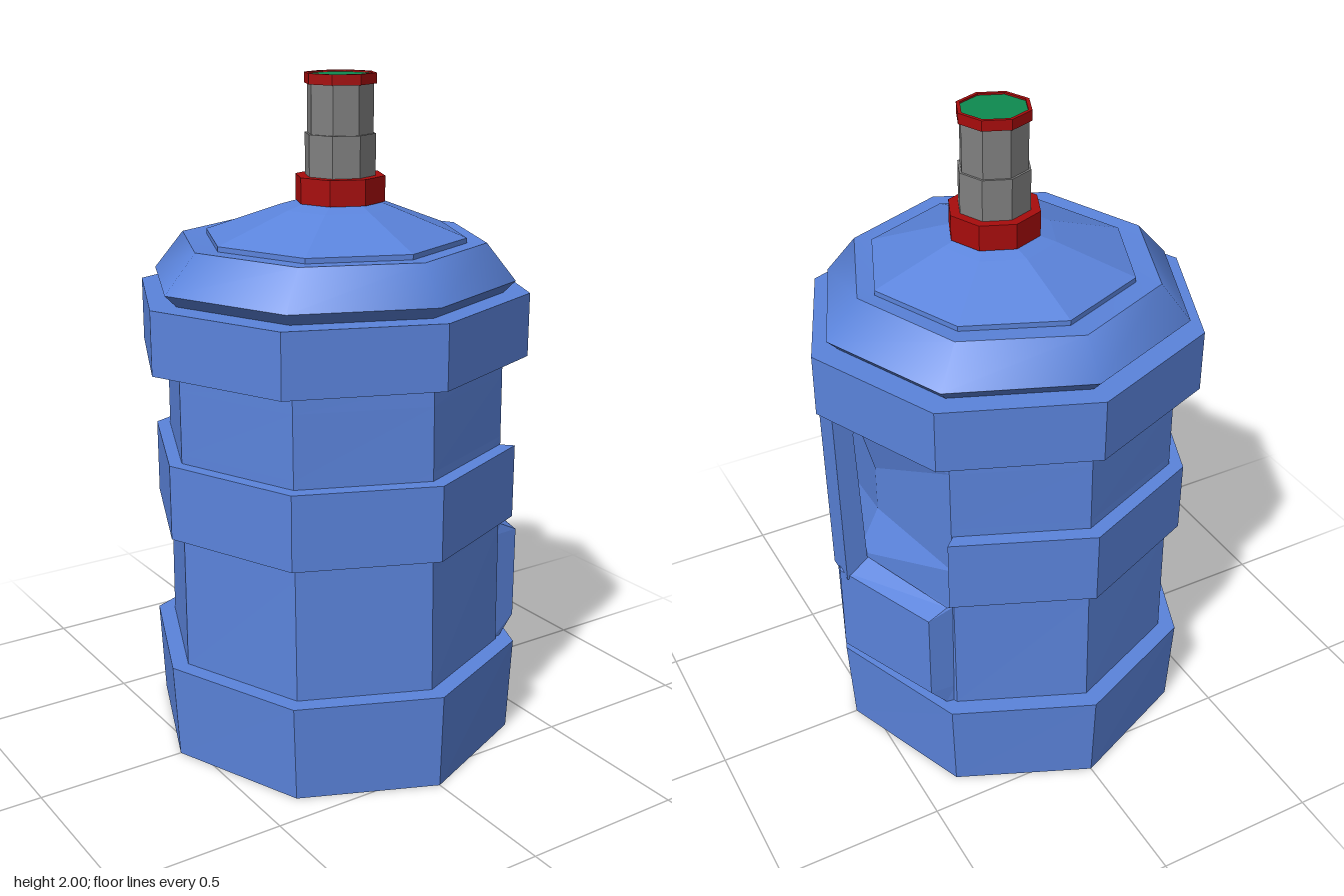
import * as THREE from 'three';
import { toCreasedNormals } from 'three/addons/utils/BufferGeometryUtils.js';

const paint = (color) => new THREE.MeshStandardMaterial({ color, flatShading: true, side: THREE.DoubleSide });

// Skin rows of points, listed bottom to top, into one surface
function loft(rows, closed = true) {
  const n = rows[0].length;
  const index = [];
  for (let r = 0; r < rows.length - 1; r++) {
    for (let i = 0; i < (closed ? n : n - 1); i++) {
      const j = (i + 1) % n;
      const a = r * n + i, b = r * n + j;
      index.push(a, a + n, b, b, a + n, b + n);
    }
  }
  const geo = new THREE.BufferGeometry();
  geo.setAttribute('position', new THREE.Float32BufferAttribute(rows.flat(2), 3));
  geo.setIndex(index);
  const flat = geo.toNonIndexed();
  flat.computeVertexNormals();
  return flat;
}

// Eight-sided ring with corners on the axes; start and end pick part of it
function ring(y, rx, rz = rx, cx = 0, start = 0, end = 7) {
  const points = [];
  for (let i = start; i <= end; i++) {
    const a = (i * Math.PI) / 4;
    points.push([cx + rx * Math.cos(a), y, rz * Math.sin(a)]);
  }
  return points;
}

export function createModel() {
  const group = new THREE.Group();
  const blue = paint(0x5b84dc);
  const red = paint(0xa80c0c);
  const grey = paint(0xcccccc);
  grey.color.set(0x808080);
  const green = paint(0x0e8a50);

  const add = (name, geo, material) => {
    const mesh = new THREE.Mesh(geo, material);
    mesh.name = name;
    group.add(mesh);
    return mesh;
  };

  // Foot of the bottle
  add('base', loft([
    ring(0, 0, 0), ring(0, 0.548, 0.577), ring(0.29, 0.565, 0.587), ring(0.29, 0.3, 0.3),
  ]), blue);

  // Core: its +x corner follows the hollow behind the handle
  const coreRows = [
    [0.29, 0.52, 0.53], [0.66, 0.50, 0.522], [0.80, 0.43, 0.52],
    [0.95, 0.43, 0.515], [1.14, 0.48, 0.512], [1.2, 0.52, 0.51],
  ];
  add('body', loft(coreRows.map(([y, gripX, rz]) => {
    const points = ring(y, 0.513, rz);
    points[0][0] = gripX;
    return points;
  })), blue);

  // Middle band, open on the handle side, with closed ends
  const band = [[0.7, 0.49], [0.7, 0.553], [0.925, 0.553], [0.925, 0.49]];
  add('middleBand', loft(band.map(([y, r]) => ring(y, r, r + 0.01, 0, 1, 7)), false), blue);
  for (const end of [1, 7]) {
    const [a, b, c, d] = band.map(([y, r]) => ring(y, r, r + 0.01, 0, end, end)[0]);
    add('bandEnd', loft(end === 1 ? [[b, a], [c, d]] : [[a, b], [d, c]], false), blue);
  }

  // Raised block under the handle: side height, side x, centre height, centre x
  const gripRows = [
    [0.29, 0.39, 0.29, 0.52], [0.35, 0.44, 0.31, 0.565],
    [0.635, 0.44, 0.61, 0.565], [0.665, 0.38, 0.66, 0.50],
  ];
  add('lowerGripBlock', loft(gripRows.map(([ys, xs, yc, xc]) => [
    [0.36, ys, -0.365], [xs, ys, -0.36], [xc, yc, 0], [xs, ys, 0.36], [0.36, ys, 0.365],
  ]), false), blue);

  // Upright handle
  const outline = new THREE.Shape([
    [0.487, 0.6], [0.558, 0.6], [0.567, 1.2], [0.485, 1.2], [0.507, 1.12],
  ].map(([x, y]) => new THREE.Vector2(x, y)));
  const handle = add('handle', new THREE.ExtrudeGeometry(outline, { depth: 0.1, bevelEnabled: false }), blue);
  handle.position.z = -0.04;

  // Wide upper band
  add('upperBand', loft([
    ring(1.197, 0, 0), ring(1.197, 0.597, 0.57), ring(1.385, 0.597, 0.57), ring(1.385, 0.45, 0.45),
  ]), blue);

  // Softly shaded shoulder
  const soft = paint(0x5b84dc);
  soft.flatShading = false;
  add('shoulder', toCreasedNormals(loft([
    ring(1.385, 0.515, 0.5), ring(1.42, 0.55, 0.533), ring(1.53, 0.452, 0.46), ring(1.525, 0.385, 0.39, 0.01),
  ]), 0.9), soft);

  // Low cone rising to the neck
  add('dome', loft([
    ring(1.52, 0.39, 0.39, 0.01), ring(1.54, 0.39, 0.39, 0.01),
    ring(1.62, 0.17, 0.17, 0.02), ring(1.645, 0.09, 0.09, 0.03),
  ]), blue);

  // Collar, neck and cap share a slightly offset axis
  const stack = (name, profile, material) =>
    add(name, loft(profile.map(([y, r]) => ring(y, r, r * 0.97, 0.03))), material);
  stack('collar', [[1.635, 0.05], [1.635, 0.135], [1.71, 0.135], [1.71, 0.08]], red);
  stack('neck', [[1.7, 0.106], [1.83, 0.106], [1.83, 0.099], [1.975, 0.099]], grey);
  stack('capRim', [[1.97, 0.08], [1.97, 0.107], [2.0, 0.107], [2.0, 0.096], [1.985, 0.096]], red);
  stack('capTop', [[1.98, 0.096], [1.995, 0.096], [1.995, 0]], green);

  return group;
}
